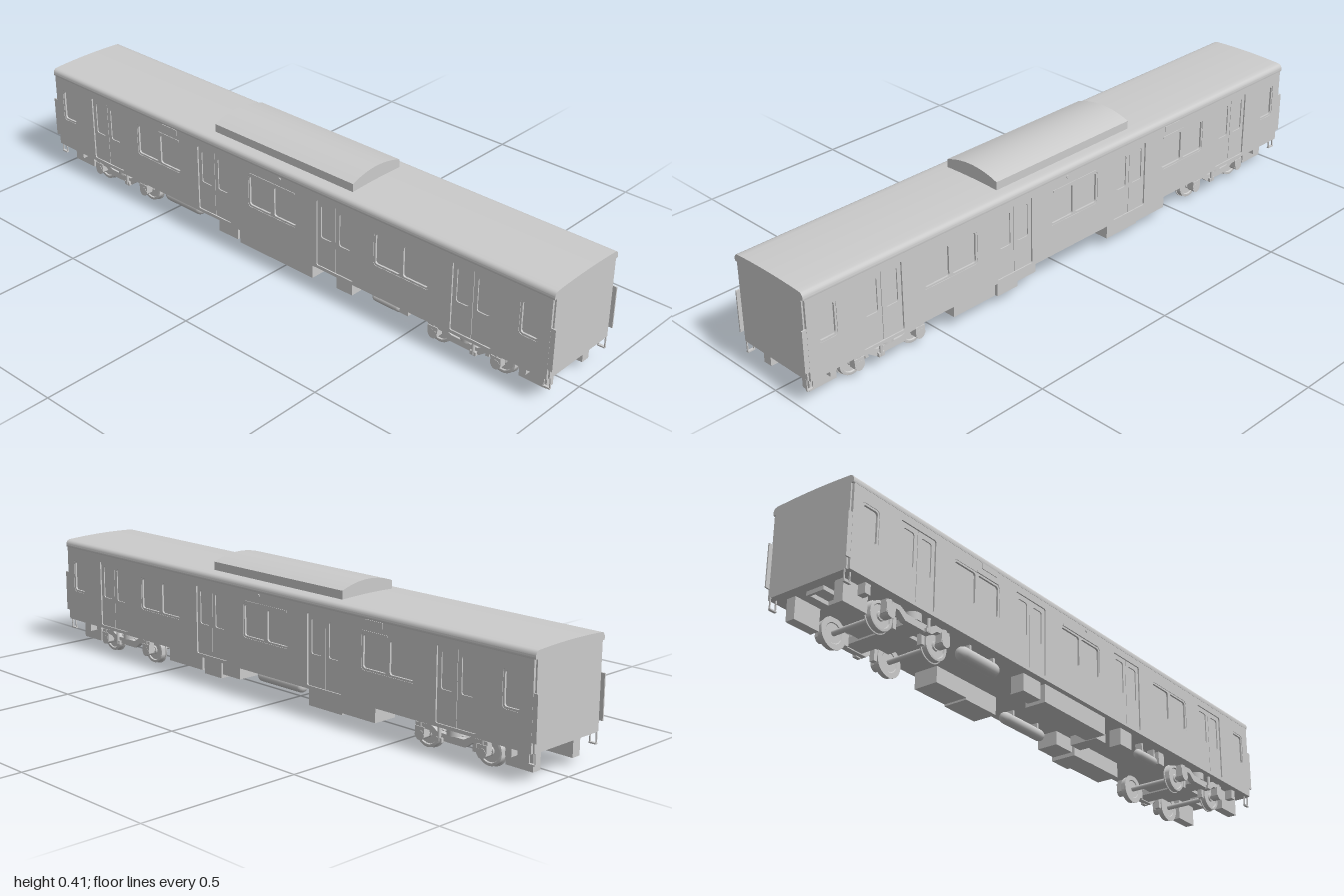
import * as THREE from 'three';
import { toCreasedNormals } from 'three/addons/utils/BufferGeometryUtils.js';

const grey = new THREE.MeshStandardMaterial({ color: 0xcccccc });

function add(parent, name, geo, x = 0, y = 0, z = 0) {
  const m = new THREE.Mesh(geo, grey);
  m.name = name;
  m.position.set(x, y, z);
  parent.add(m);
  return m;
}

// Box given by its limits on each axis
function box(parent, name, x0, x1, y0, y1, z0, z1) {
  return add(parent, name, new THREE.BoxGeometry(Math.abs(x1 - x0), Math.abs(y1 - y0), Math.abs(z1 - z0)),
    (x0 + x1) / 2, (y0 + y1) / 2, (z0 + z1) / 2);
}

function rod(parent, name, axis, r, len, x, y, z, sides = 20) {
  const g = new THREE.CylinderGeometry(r, r, len, sides);
  if (axis === 'x') g.rotateZ(Math.PI / 2);
  if (axis === 'z') g.rotateX(Math.PI / 2);
  return add(parent, name, g, x, y, z);
}

// Capsule tank lying along z
function tank(parent, name, r, len, x, y, z) {
  return add(parent, name, new THREE.CapsuleGeometry(r, len - 2 * r, 5, 20).rotateX(Math.PI / 2), x, y, z);
}

function outline(Type, x0, x1, y0, y1, r = 0) {
  const p = new Type();
  if (!r) {
    p.moveTo(x0, y0); p.lineTo(x1, y0); p.lineTo(x1, y1); p.lineTo(x0, y1); p.closePath();
    return p;
  }
  p.absarc(x1 - r, y0 + r, r, -Math.PI / 2, 0);
  p.absarc(x1 - r, y1 - r, r, 0, Math.PI / 2);
  p.absarc(x0 + r, y1 - r, r, Math.PI / 2, Math.PI);
  p.absarc(x0 + r, y0 + r, r, Math.PI, Math.PI * 1.5);
  p.closePath();
  return p;
}

// Profile in x and y, drawn out along z and centred
function alongZ(points, length) {
  const g = new THREE.ExtrudeGeometry(new THREE.Shape(points), { depth: length, bevelEnabled: false });
  return toCreasedNormals(g.translate(0, 0, -length / 2), 0.5);
}

// Mirrored profile: right half from the bottom up to the centre
function mirrored(half) {
  const pts = half.map(([x, y]) => new THREE.Vector2(x, y));
  return [...pts, ...pts.slice().reverse().filter(p => p.x > 0).map(p => new THREE.Vector2(-p.x, p.y))];
}

// Panel standing in the side wall, s is the side, from x0 to x1 outwards
function sidePanel(parent, name, shape, s, x0, x1) {
  const g = new THREE.ExtrudeGeometry(shape, { depth: x1 - x0, bevelEnabled: false, curveSegments: 5 });
  g.translate(0, 0, x0).rotateY(s * Math.PI / 2);
  return add(parent, name, g);
}

const DOORS = [-0.735, -0.245, 0.245, 0.735];
const WINDOWS = [[-0.92, 0.065], [-0.49, 0.2], [0, 0.2], [0.49, 0.2], [0.92, 0.065]];
const SILL = 0.19, HEAD = 0.298;

function sideWall(parent, s) {
  const wall = new THREE.Group();
  wall.name = s > 0 ? 'leftSide' : 'rightSide';
  parent.add(wall);

  // Outer skin with door and window openings
  const skin = outline(THREE.Shape, -0.985, 0.985, 0.09, 0.338);
  for (const c of DOORS) skin.holes.push(outline(THREE.Path, c - 0.07, c + 0.07, 0.1, 0.315, 0.006));
  for (const [c, w] of WINDOWS) skin.holes.push(outline(THREE.Path, c - w / 2, c + w / 2, SILL, HEAD, 0.012));
  sidePanel(wall, 'sideSkin', skin, s, 0.133, 0.1415);

  // Double sliding doors
  for (const c of DOORS) for (const k of [-1, 1]) {
    const m = c + k * 0.035;
    const leaf = outline(THREE.Shape, m - 0.0342, m + 0.0342, 0.1, 0.315);
    leaf.holes.push(outline(THREE.Path, m - 0.021, m + 0.021, 0.195, 0.3, 0.007));
    sidePanel(wall, 'doorLeaf', leaf, s, 0.133, 0.1375);
  }

  // Window frames, the wide ones with two panes
  for (const [c, w] of WINDOWS) {
    const frame = outline(THREE.Shape, c - w / 2, c + w / 2, SILL, HEAD, 0.012);
    const n = w > 0.1 ? 2 : 1, pane = w / n;
    for (let i = 0; i < n; i++) {
      const a = c - w / 2 + i * pane;
      frame.holes.push(outline(THREE.Path, a + 0.006, a + pane - 0.006, SILL + 0.006, HEAD - 0.006, 0.008));
    }
    sidePanel(wall, 'windowFrame', frame, s, 0.133, 0.14);
  }

  // Destination sign, rain strips and lamp
  box(wall, 'signPanel', s * 0.139, s * 0.1435, 0.318, 0.336, -0.47, -0.405);
  box(wall, 'rainStrip', s * 0.139, s * 0.1435, 0.298, 0.304, -0.09, 0.09);
  box(wall, 'rainStrip', s * 0.139, s * 0.1435, 0.298, 0.304, -0.49, -0.395);
  rod(wall, 'sideLamp', 'x', 0.005, 0.006, s * 0.1415, 0.328, 0.03, 12);

  // Gap guards and foot steps at both ends
  for (const e of [-1, 1]) {
    box(wall, 'gapGuard', s * 0.137, s * 0.141, 0.12, 0.25, e * 0.98, e * 1.0);
    for (const z of [0.968, 0.988]) box(wall, 'stepLeg', s * 0.126, s * 0.13, 0.058, 0.092, e * z, e * (z + 0.003));
    box(wall, 'stepTread', s * 0.124, s * 0.132, 0.056, 0.06, e * 0.968, e * 0.991);
  }
}

function bogie(parent, name, zc) {
  const b = new THREE.Group();
  b.name = name;
  b.position.z = zc;
  parent.add(b);

  // Wheelsets
  const wheel = new THREE.LatheGeometry([[0, -0.008], [0.028, -0.008], [0.03, -0.01], [0.046, -0.01], [0.046, -0.007],
    [0.043, -0.006], [0.042, 0.009], [0.034, 0.009], [0.032, 0.005], [0.014, 0.005], [0.012, 0.009], [0, 0.009]]
    .map(([x, y]) => new THREE.Vector2(x, y)), 28);
  const wheelGeo = toCreasedNormals(wheel, 0.6).rotateZ(-Math.PI / 2);
  for (const z of [-0.108, 0.108]) {
    rod(b, 'axle', 'x', 0.008, 0.23, 0, 0.046, z);
    for (const s of [-1, 1]) {
      const w = add(b, 'wheel', wheelGeo, s * 0.083, 0.046, z);
      if (s < 0) w.rotation.y = Math.PI;
      rod(b, 'axleBox', 'x', 0.015, 0.026, s * 0.113, 0.046, z);
      box(b, 'axleBoxHousing', s * 0.103, s * 0.125, 0.042, 0.07, z - 0.017, z + 0.017);
      rod(b, 'axleSpring', 'y', 0.01, 0.018, s * 0.114, 0.074, z, 14);
    }
  }
  // Side frames, dropped in the middle
  const frame = new THREE.Shape([[-0.125, 0.068], [-0.075, 0.066], [-0.05, 0.047], [0.05, 0.047], [0.075, 0.066],
    [0.125, 0.068], [0.125, 0.08], [0.07, 0.082], [0.045, 0.068], [-0.045, 0.068], [-0.07, 0.082], [-0.125, 0.08]]
    .map(([x, y]) => new THREE.Vector2(x, y)));
  for (const s of [-1, 1]) {
    sidePanel(b, 'sideFrame', frame, s, 0.104, 0.122);
    rod(b, 'airSpring', 'y', 0.024, 0.026, s * 0.102, 0.08, 0);
    rod(b, 'damper', 'y', 0.005, 0.04, s * 0.127, 0.066, 0.035, 12);
    box(b, 'damperBracket', s * 0.118, s * 0.13, 0.044, 0.056, 0.025, 0.045);
    for (const e of [-1, 1]) box(b, 'brakeShoe', s * 0.075, s * 0.091, 0.03, 0.065, e * 0.05, e * 0.062);
  }
  // Cross beam and centre plate
  box(b, 'crossBeam', -0.106, 0.106, 0.05, 0.07, -0.032, 0.032);
  box(b, 'centrePlate', -0.057, 0.057, 0.055, 0.066, -0.085, 0.085);
  rod(b, 'centrePivot', 'y', 0.025, 0.03, 0, 0.08, 0);
}

function equipment(parent) {
  const u = new THREE.Group();
  u.name = 'underfloorEquipment';
  parent.add(u);
  // Boxes: x0, x1, bottom, z0, z1
  const cases = [
    [-0.125, -0.055, 0.034, -0.155, 0.145], [-0.12, -0.075, 0.036, -0.25, -0.17], [-0.12, -0.08, 0.036, 0.235, 0.295],
    [0.05, 0.125, 0.042, 0.31, 0.47], [0.04, 0.125, 0.034, 0.22, 0.3], [0.05, 0.12, 0.046, 0.14, 0.22],
    [0.045, 0.125, 0.034, -0.3, -0.165], [0.045, 0.125, 0.04, -0.43, -0.3], [-0.055, 0.04, 0.06, 0.2, 0.25],
  ];
  for (const [x0, x1, y, z0, z1] of cases) box(u, 'equipmentCase', x0, x1, y, 0.092, z0, z1);
  // Tanks and their hangers
  for (const [r, len, x, y, z] of [[0.021, 0.17, -0.095, 0.063, -0.425], [0.015, 0.11, -0.095, 0.055, 0.41],
    [0.018, 0.2, 0.075, 0.062, 0]]) {
    tank(u, 'airTank', r, len, x, y, z);
    for (const e of [-1, 1]) box(u, 'tankHanger', x - r * 0.8, x + r * 0.8, y, 0.092, z + e * len * 0.3 - 0.004, z + e * len * 0.3 + 0.004);
  }
  box(u, 'valveCase', -0.11, -0.08, 0.05, 0.092, 0.465, 0.495);
}

function endGear(parent, e) {
  const g = new THREE.Group();
  g.name = e > 0 ? 'frontEndGear' : 'backEndGear';
  parent.add(g);
  for (const s of [-1, 1]) {
    box(g, 'endCase', s * 0.068, s * 0.098, 0.025, 0.092, e * 0.87, e * 0.96);
    box(g, 'couplerFrameSide', s * 0.022, s * 0.03, 0.078, 0.092, e * 0.88, e * 0.96);
    box(g, 'endBracket', s * 0.1, s * 0.125, 0.06, 0.092, e * 0.89, e * 0.91);
  }
  for (const z of [0.88, 0.952]) box(g, 'couplerFrameBar', -0.03, 0.03, 0.078, 0.092, e * z, e * (z + 0.008));
}

export function createModel() {
  const car = new THREE.Group();
  car.name = 'railCar';

  // Core with shallow arched roof and rounded eaves
  const roof = [[0.134, 0.09], [0.134, 0.337], [0.142, 0.337], [0.143, 0.343], [0.1425, 0.348], [0.14, 0.354], [0.136, 0.358], [0.13, 0.36]];
  for (let i = 1; i <= 8; i++) {
    const x = 0.13 * (1 - i / 8);
    roof.push([x, 0.364 - 0.004 * (x / 0.13) ** 2]);
  }
  add(car, 'bodyAndRoof', alongZ(mirrored(roof), 1.98));
  for (const s of [-1, 1]) sideWall(car, s);

  // Roof cooling unit with arched top
  const unit = [[0.101, 0.358], [0.101, 0.387]];
  for (let i = 1; i <= 8; i++) {
    const x = 0.101 * (1 - i / 8);
    unit.push([x, 0.406 - 0.019 * (x / 0.101) ** 2]);
  }
  add(car, 'coolingUnit', alongZ(mirrored(unit), 0.55));

  bogie(car, 'frontBogie', 0.703);
  bogie(car, 'backBogie', -0.703);
  equipment(car);
  endGear(car, 1);
  endGear(car, -1);
  return car;
}
